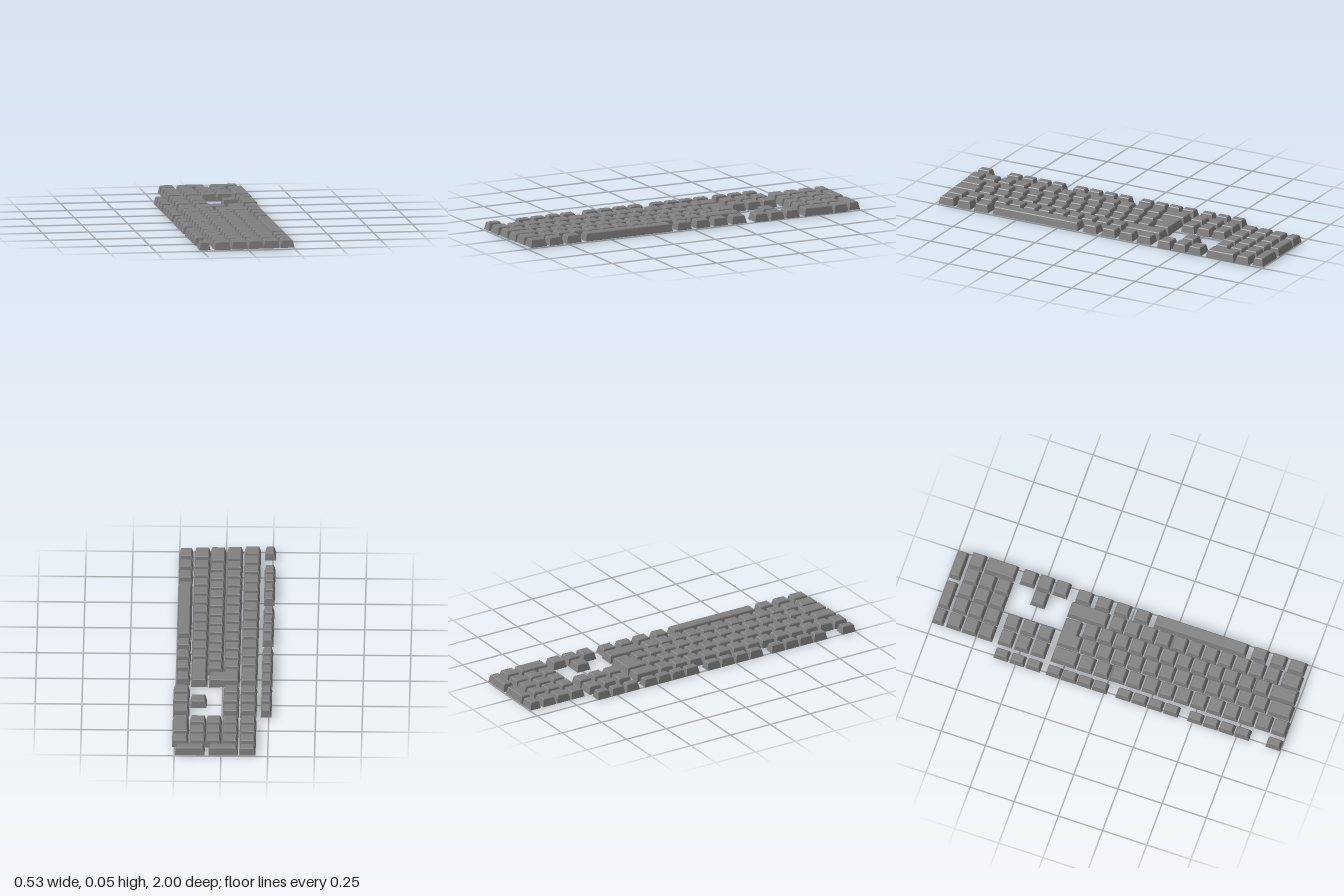
import * as THREE from 'three';

const BASE = 0.005, SHOULDER = 0.043, TOP = 0.047;

// Moves every corner of a right-angled outline inward by d
function inset(outline, d) {
  const n = outline.length;
  const inward = (a, b) => [-Math.sign(b[1] - a[1]), Math.sign(b[0] - a[0])];
  return outline.map((p, i) => {
    const n1 = inward(outline[(i + n - 1) % n], p);
    const n2 = inward(p, outline[(i + 1) % n]);
    return [p[0] + d * (n1[0] || n2[0]), p[1] + d * (n1[1] || n2[1])];
  });
}

// Tapered keycap with a small bevel around the top; outline is in x, z
function capGeometry(outline, baseY = () => BASE) {
  const ring = (d, y) => inset(outline, d).map(([x, z]) => [x, y(x), z]);
  const rings = [
    ring(0, baseY),
    ring(0.0085, () => SHOULDER),
    ring(0.0125, () => TOP),
  ];
  const n = outline.length, pos = [];
  const tri = (a, b, c) => pos.push(...a, ...b, ...c);
  for (let r = 0; r < 2; r++) {
    const lo = rings[r], hi = rings[r + 1];
    for (let i = 0; i < n; i++) {
      const j = (i + 1) % n;
      tri(lo[i], hi[i], hi[j]);
      tri(lo[i], hi[j], lo[j]);
    }
  }
  for (let i = 1; i < n - 1; i++) {
    tri(rings[2][0], rings[2][i + 1], rings[2][i]);
    tri(rings[0][0], rings[0][i], rings[0][i + 1]);
  }
  const g = new THREE.BufferGeometry();
  g.setAttribute('position', new THREE.Float32BufferAttribute(pos, 3));
  g.computeVertexNormals();
  return g;
}

export function createModel() {
  const model = new THREE.Group();
  model.name = 'keyboardKeys';
  const grey = new THREE.MeshStandardMaterial({ color: 0x808080 });
  grey.name = 'keyGrey';

  const group = (name) => {
    const g = new THREE.Group();
    g.name = name;
    model.add(g);
    return g;
  };
  const key = (parent, name, [x0, x1], z0, z1) => {
    const m = new THREE.Mesh(capGeometry([[x0, z0], [x1, z0], [x1, z1], [x0, z1]]), grey);
    m.name = name;
    parent.add(m);
  };
  // Evenly spaced keys filling z0..z1
  const run = (parent, name, x, z0, z1, count, size) => {
    const pitch = (z1 - z0 - size) / (count - 1);
    for (let i = 0; i < count; i++) key(parent, name, x, z0 + i * pitch, z0 + i * pitch + size);
  };

  // x extents of the rows, from the back of the keyboard to its front
  const FAR = [-0.265, -0.207], NUM = [-0.185, -0.097], UPPER = [-0.09, -0.004];
  const HOME = [0, 0.084], LOWER = [0.083, 0.17], BOTTOM = [0.175, 0.25], ARROW = [0.175, 0.263];

  // Small keys along the far edge
  const far = group('farRow');
  key(far, 'escapeKey', FAR, 0.915, 0.998);
  run(far, 'farKey', FAR, 0.47, 0.82, 4, 0.083);
  run(far, 'farKey', FAR, 0.065, 0.418, 4, 0.083);
  run(far, 'farKey', FAR, -0.33, 0.015, 4, 0.083);
  run(far, 'systemKey', FAR, -0.625, -0.362, 3, 0.081);

  // Main block
  const num = group('numberRow');
  run(num, 'numberKey', NUM, -0.18, 1, 13, 0.084);
  key(num, 'backspaceKey', NUM, -0.33, -0.188);

  const upper = group('upperRow');
  run(upper, 'letterKey', UPPER, -0.197, 0.855, 12, 0.081);
  key(upper, 'tabKey', UPPER, 0.863, 0.993);

  const home = group('homeRow');
  run(home, 'letterKey', HOME, -0.217, 0.832, 12, 0.081);
  key(home, 'capsKey', HOME, 0.842, 0.988);

  const lower = group('lowerRow');
  run(lower, 'letterKey', LOWER, -0.097, 0.863, 11, 0.081);
  key(lower, 'leftShiftKey', LOWER, 0.875, 0.983);
  key(lower, 'rightShiftKey', LOWER, -0.33, -0.11);

  const bottom = group('bottomRow');
  key(bottom, 'spaceBar', BOTTOM, 0.127, 0.648);
  for (const [z0, z1] of [[-0.317, -0.23], [-0.206, -0.12], [-0.1, -0.014], [0.013, 0.098],
    [0.675, 0.762], [0.783, 0.868], [0.883, 0.978]]) key(bottom, 'modifierKey', BOTTOM, z0, z1);

  // L-shaped enter key, its underside dipping on the narrow leg
  const mid = -0.006, end = 0.074;
  const enter = new THREE.Mesh(capGeometry(
    [[mid, -0.232], [mid, -0.204], [-0.09, -0.204], [-0.09, -0.33],
      [mid, -0.33], [end, -0.33], [end, -0.232]],
    (x) => BASE * (1 - Math.max(0, (x - mid) / (end - mid)))), grey);
  enter.name = 'enterKey';
  upper.add(enter);

  // Navigation and arrow keys
  const nav = group('navigationKeys');
  for (const x of [NUM, UPPER]) run(nav, 'navigationKey', x, -0.63, -0.362, 3, 0.082);
  run(nav, 'arrowKey', ARROW, -0.63, -0.362, 3, 0.082);
  key(nav, 'upArrowKey', LOWER, -0.538, -0.456);

  // Number pad
  const pad = group('numberPad');
  for (const x of [NUM, UPPER, HOME, LOWER]) run(pad, 'padKey', x, -0.922, -0.66, 3, 0.083);
  key(pad, 'padPointKey', ARROW, -0.922, -0.839);
  key(pad, 'padZeroKey', ARROW, -0.832, -0.66);
  key(pad, 'padMinusKey', NUM, -1, -0.936);
  key(pad, 'padPlusKey', [-0.09, 0.067], -1, -0.936);
  key(pad, 'padEnterKey', [0.087, 0.245], -1, -0.936);

  return model;
}
